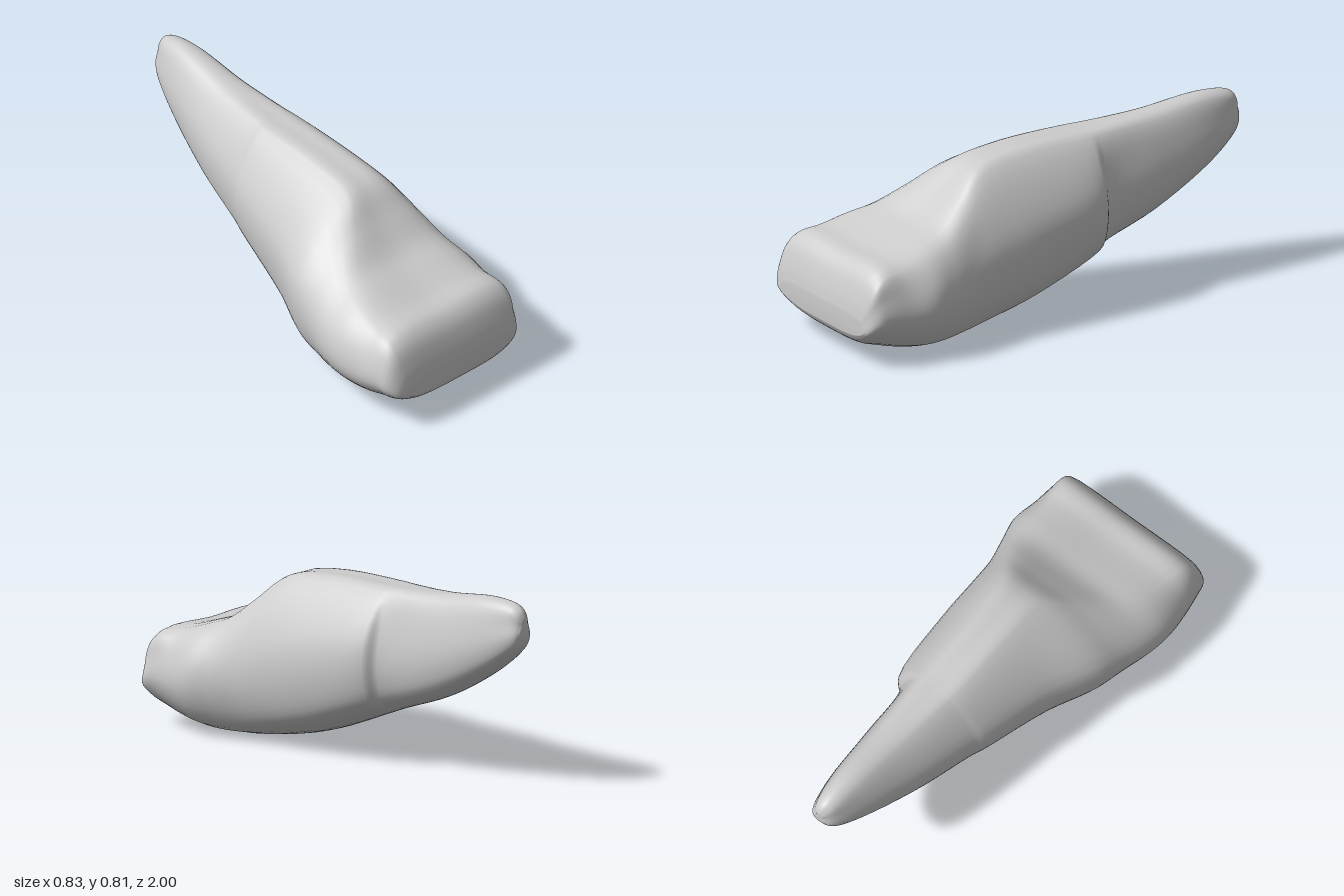
import * as THREE from 'three';

// Stations from front to back: z, left x, right x, bottom y, top y, middle x and half width of the flat top
const STATIONS = [
  [1.0, -0.31, 0.30, 0.135, 0.225, 0, 0.27],
  [0.985, -0.355, 0.335, 0.11, 0.29, 0, 0.30],
  [0.95, -0.385, 0.36, 0.083, 0.375, 0, 0.32],
  [0.9, -0.395, 0.37, 0.065, 0.42, 0, 0.315],
  [0.8, -0.405, 0.385, 0.035, 0.437, 0, 0.30],
  [0.68, -0.408, 0.405, 0.014, 0.474, 0.01, 0.28],
  [0.57, -0.39, 0.385, 0.004, 0.515, 0.03, 0.245],
  [0.45, -0.355, 0.36, 0.004, 0.61, 0.06, 0.18],
  [0.32, -0.32, 0.35, 0.02, 0.72, 0.085, 0.105],
  [0.1, -0.225, 0.348, 0.08, 0.757, 0.09, 0.09],
  [-0.23, -0.135, 0.322, 0.21, 0.762, 0.105, 0.085],
  [-0.28, -0.115, 0.28, 0.23, 0.763, 0.11, 0.08],
  [-0.55, -0.045, 0.266, 0.33, 0.78, 0.13, 0.065],
  [-0.82, 0.035, 0.25, 0.48, 0.809, 0.15, 0.05],
  [-0.95, 0.085, 0.225, 0.58, 0.797, 0.157, 0.038],
  [-0.985, 0.11, 0.208, 0.62, 0.775, 0.16, 0.027],
  [-1.0, 0.135, 0.188, 0.66, 0.745, 0.16, 0.017],
];
const SIDES = 48, STEPS = 5;

// Closed rounded outline, clockwise from the upper left corner
function crossSection([z, left, right, bottom, top, ridge, flat]) {
  const height = top - bottom, width = right - left;
  // The front is boxy with upright sides, the rear has a fuller underside and rounder ridge
  const boxy = THREE.MathUtils.smoothstep(z, 0.3, 0.65);
  const middle = bottom + (0.48 + 0.08 * boxy) * height;
  const up = middle + 0.14 * height, low = middle - 0.17 * height;
  const keel = left + 0.53 * width, hipY = bottom + 0.09 * height;
  const hipLeft = (0.42 - 0.06 * boxy) * width, hipRight = 0.36 * width;
  const shoulder = top - (z < -0.4 ? 0.02 : 0.01);
  const points = [
    [ridge - flat, shoulder], [ridge, top], [ridge + flat, shoulder],
    [right - 0.012, up], [right, low], [keel + hipRight, hipY],
    [keel, bottom], [keel - hipLeft, hipY], [left, low], [left + 0.012, up],
  ].map(([x, y]) => new THREE.Vector3(x, y, z));
  const curve = new THREE.CatmullRomCurve3(points, true);
  return Array.from({ length: SIDES }, (_, i) => curve.getPoint(i / SIDES));
}

function loftGeometry() {
  const rings = STATIONS.map(crossSection);
  const rows = (rings.length - 1) * STEPS;
  // Smooth curves run lengthwise through matching outline points
  const rails = Array.from({ length: SIDES }, (_, i) =>
    new THREE.CatmullRomCurve3(rings.map((ring) => ring[i])));
  const position = [], index = [];
  for (let r = 0; r <= rows; r++) {
    for (const rail of rails) position.push(...rail.getPoint(r / rows).toArray());
  }
  for (let r = 0; r < rows; r++) {
    for (let i = 0; i < SIDES; i++) {
      const a = r * SIDES + i, b = r * SIDES + (i + 1) % SIDES;
      index.push(a, b, a + SIDES, b, b + SIDES, a + SIDES);
    }
  }
  // Close the blunt front and the narrow tip
  const front = position.length / 3, back = front + 1;
  for (const ring of [rings[0], rings[rings.length - 1]]) {
    const centre = ring.reduce((sum, p) => sum.add(p), new THREE.Vector3()).divideScalar(SIDES);
    position.push(...centre.toArray());
  }
  for (let i = 0; i < SIDES; i++) {
    const next = (i + 1) % SIDES;
    index.push(front, next, i, back, rows * SIDES + i, rows * SIDES + next);
  }
  const geometry = new THREE.BufferGeometry();
  geometry.setAttribute('position', new THREE.Float32BufferAttribute(position, 3));
  geometry.setIndex(index);
  geometry.computeVertexNormals();
  return geometry;
}

export function createModel() {
  const group = new THREE.Group();
  group.name = 'taperedWedge';
  const body = new THREE.Mesh(loftGeometry(), new THREE.MeshStandardMaterial({ color: 0xcccccc }));
  body.name = 'body';
  group.add(body);
  return group;
}
